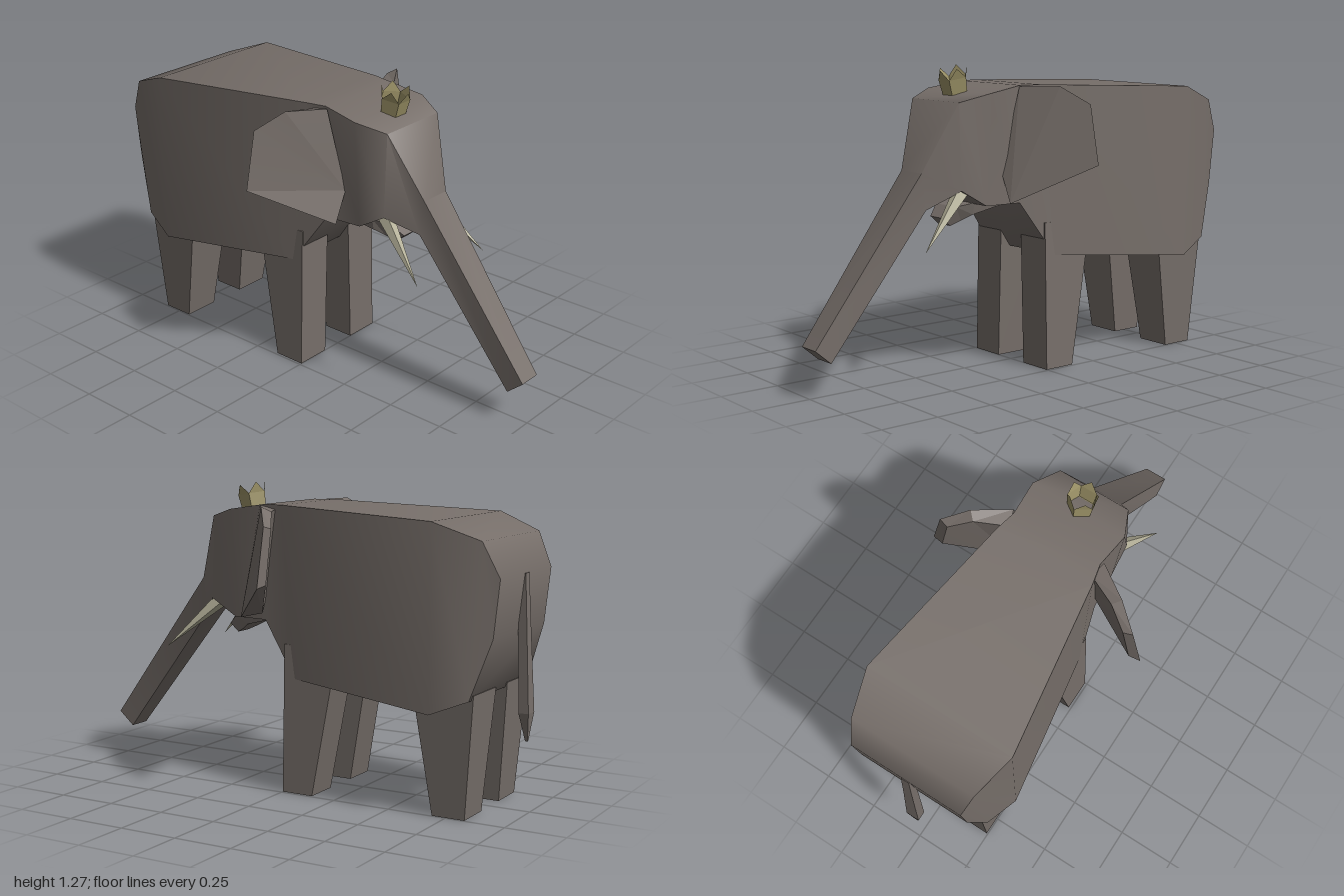
import * as THREE from 'three';
import { toCreasedNormals } from 'three/addons/utils/BufferGeometryUtils.js';

const skin = new THREE.MeshStandardMaterial({ color: 0x766e69 });
skin.name = 'greySkin';
const ivory = new THREE.MeshStandardMaterial({ color: 0xb8b49c });
ivory.name = 'ivory';
const gold = new THREE.MeshStandardMaterial({ color: 0x9e9468, side: THREE.DoubleSide });
gold.name = 'paleGold';

// Closed skin through equal-sized rings, each counter-clockwise seen from the last ring's end
function loft(rings, crease = 0.1) {
  const out = [];
  const tri = (a, b, c) => out.push(...a, ...b, ...c);
  const n = rings[0].length;
  for (let i = 0; i < rings.length - 1; i++) {
    for (let j = 0; j < n; j++) {
      const k = (j + 1) % n;
      const [a, b, c, d] = [rings[i][j], rings[i][k], rings[i + 1][k], rings[i + 1][j]];
      tri(a, b, c);
      tri(a, c, d);
    }
  }
  const first = rings[0], last = rings[rings.length - 1];
  for (let j = 1; j < n - 1; j++) {
    tri(first[0], first[j + 1], first[j]);
    tri(last[0], last[j], last[j + 1]);
  }
  const geo = new THREE.BufferGeometry();
  geo.setAttribute('position', new THREE.Float32BufferAttribute(out, 3));
  geo.computeVertexNormals();
  return toCreasedNormals(geo, crease);
}

// Four-cornered section: top and bottom edges given as [z, y, halfWidth]
const section = ([tz, ty, tw], [bz, by, bw]) =>
  [[-bw, by, bz], [bw, by, bz], [tw, ty, tz], [-tw, ty, tz]];

// Horizontal rectangle, counter-clockwise from above
const slab = (y, x0, x1, z0, z1) => [[x0, y, z1], [x1, y, z1], [x1, y, z0], [x0, y, z0]];

const mirrorRing = (ring) => ring.map(([x, y, z]) => [-x, y, z]).reverse();

export function createModel() {
  const model = new THREE.Group();
  model.name = 'elephant';
  const add = (name, geo, mat) => {
    const mesh = new THREE.Mesh(geo, mat);
    mesh.name = name;
    model.add(mesh);
    return mesh;
  };
  const addPair = (name, rings) => {
    add('left' + name, loft(rings), skin);
    add('right' + name, loft(rings.map(mirrorRing)), skin);
  };

  // Body, head and trunk in one skin, rump to trunk tip
  add('bodyHeadAndTrunk', loft([
    section([-0.965, 0.95, 0.255], [-0.94, 0.72, 0.255]),
    section([-0.90, 1.09, 0.28], [-0.86, 0.48, 0.29]),
    section([-0.71, 1.16, 0.33], [-0.71, 0.42, 0.33]),
    section([0.02, 1.19, 0.22], [-0.05, 0.48, 0.228]),
    section([0.11, 1.19, 0.2], [0.11, 0.71, 0.195]),
    section([0.27, 1.165, 0.215], [0.27, 0.71, 0.18]),
    section([0.39, 1.13, 0.16], [0.39, 0.78, 0.175]),
    section([0.51, 0.85, 0.07], [0.49, 0.70, 0.07]),
    section([1.0, 0.2, 0.05], [0.93, 0.14, 0.05]),
  ], 0.95), skin);

  // Lower lip
  add('lowerLip', loft([
    section([0.11, 0.72, 0.12], [0.11, 0.705, 0.12]),
    section([0.27, 0.715, 0.1], [0.27, 0.665, 0.09]),
    section([0.34, 0.70, 0.07], [0.31, 0.64, 0.06]),
    section([0.39, 0.655, 0.04], [0.35, 0.62, 0.04]),
  ]), skin);

  // Ears: wedge plates, thick at the root
  addPair('Ear', [
    [[0.22, 0.74, 0.11], [0.45, 0.89, -0.055], [0.41, 1.11, -0.055],
      [0.32, 1.17, 0.0], [0.19, 1.17, 0.06], [0.17, 0.85, 0.11]],
    [[0.245, 0.72, 0.2], [0.5, 0.88, -0.045], [0.45, 1.12, -0.045],
      [0.35, 1.19, 0.03], [0.21, 1.185, 0.125], [0.185, 0.85, 0.2]],
  ]);

  // Legs: tapered to the foot
  addPair('FrontLeg', [slab(0, 0.085, 0.24, -0.14, 0), slab(0.62, 0.065, 0.225, -0.25, 0)]);
  addPair('BackLeg', [slab(0, 0.085, 0.245, -0.83, -0.69), slab(0.5, 0.055, 0.268, -0.87, -0.61)]);

  // Tail
  add('tail', loft([
    slab(0.285, -0.004, 0.004, -0.985, -0.975),
    slab(0.4, -0.03, 0.03, -0.997, -0.955),
    slab(0.72, -0.022, 0.022, -0.98, -0.943),
    slab(0.95, -0.018, 0.018, -0.968, -0.95),
  ]), skin);

  // Tusks: four-sided spikes
  for (const s of [1, -1]) {
    const base = new THREE.Vector3(s * 0.135, 0.78, 0.36);
    const tip = new THREE.Vector3(s * 0.22, 0.56, 0.6);
    const dir = tip.clone().sub(base);
    const geo = new THREE.ConeGeometry(0.034, dir.length(), 4).toNonIndexed();
    geo.computeVertexNormals();
    const tusk = add(s > 0 ? 'leftTusk' : 'rightTusk', geo, ivory);
    tusk.position.copy(base).addScaledVector(dir, 0.5);
    tusk.quaternion.setFromUnitVectors(new THREE.Vector3(0, 1, 0), dir.normalize());
  }

  // Crown: open five-sided band, one point on each side
  const pts = [];
  const at = (a, r, y) => [Math.sin(a) * r, y, Math.cos(a) * r];
  for (let i = 0; i < 5; i++) {
    const mid = i * Math.PI * 2 / 5, h = Math.PI / 5;
    const a = at(mid - h, 0.055, 0), b = at(mid + h, 0.055, 0);
    const c = at(mid + h, 0.062, 0.062), d = at(mid - h, 0.062, 0.062);
    const peak = at(mid, 0.06, 0.105);
    pts.push(...a, ...b, ...c, ...a, ...c, ...d, ...d, ...c, ...peak);
    pts.push(...a, ...b, 0, 0, 0);
  }
  const crownGeo = new THREE.BufferGeometry();
  crownGeo.setAttribute('position', new THREE.Float32BufferAttribute(pts, 3));
  crownGeo.computeVertexNormals();
  const crown = add('crown', crownGeo, gold);
  crown.position.set(0, 1.157, 0.285);
  crown.rotation.x = 0.2;

  return model;
}
